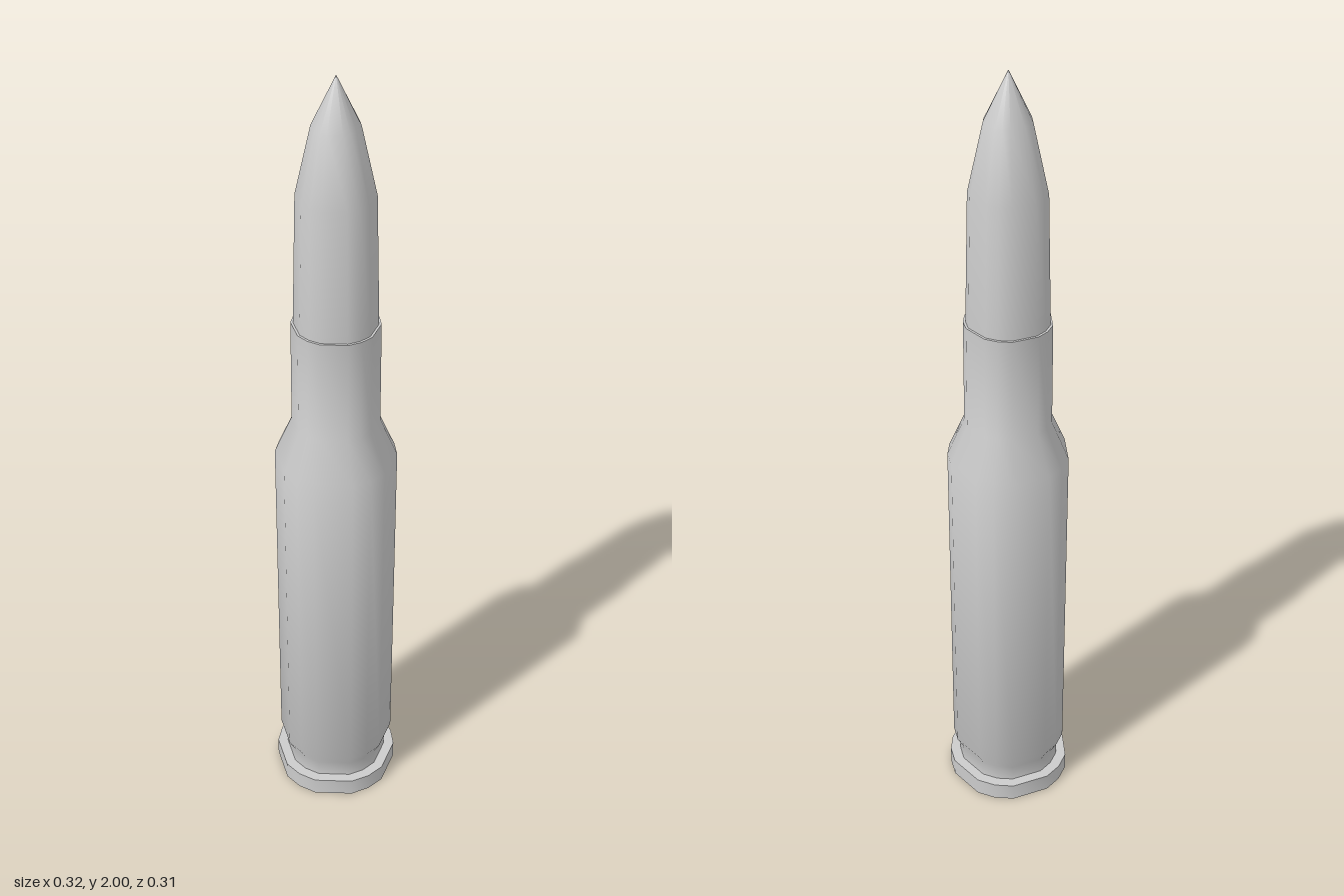
import * as THREE from 'three';
import { toCreasedNormals } from 'three/addons/utils/BufferGeometryUtils.js';

const AXIS_Z = -0.004;

// 20-sided ring with one corner cut away in every 72 degrees (15 corners)
const angles = [];
for (let i = 0; i < 20; i++) if (i % 4 !== 1) angles.push((i * Math.PI) / 10);

// Sweep a [radius, y] profile around the vertical axis
function turned(profile, crease) {
  const n = angles.length;
  const positions = [];
  const indices = [];
  for (const [r, y] of profile)
    for (const a of angles) positions.push(r * Math.cos(a), y, -r * Math.sin(a));
  for (let k = 0; k < profile.length - 1; k++) {
    for (let i = 0; i < n; i++) {
      const a = k * n + i;
      const b = k * n + ((i + 1) % n);
      if (profile[k][0] > 0) indices.push(a, b, a + n);
      if (profile[k + 1][0] > 0) indices.push(b, b + n, a + n);
    }
  }
  const geometry = new THREE.BufferGeometry();
  geometry.setAttribute('position', new THREE.Float32BufferAttribute(positions, 3));
  geometry.setIndex(indices);
  return toCreasedNormals(geometry, crease);
}

export function createModel() {
  const group = new THREE.Group();
  group.name = 'cartridge';
  const material = new THREE.MeshStandardMaterial({ color: 0xcccccc });

  function addPart(name, profile) {
    const mesh = new THREE.Mesh(turned(profile, 0.7), material);
    mesh.name = name;
    mesh.position.z = AXIS_Z;
    group.add(mesh);
  }

  // Small tapered stud in the middle of the base recess
  addPart('primer', [[0, 0.018], [0.018, 0.018], [0.032, 0.055]]);

  // Recessed base, rim, extractor groove, body, shoulder, neck and lip
  addPart('casing', [
    [0, 0.055], [0.115, 0.055], [0.12, 0],
    [0.161, 0], [0.161, 0.047],
    [0.134, 0.047], [0.134, 0.09], [0.151, 0.122],
    [0.151, 1.025], [0.108, 1.125],
    [0.107, 1.392], [0.098, 1.392], [0.098, 1.36],
  ]);

  // Pointed bullet seated in the neck
  addPart('bullet', [
    [0, 1.34], [0.102, 1.34], [0.101, 1.4], [0.093, 1.72], [0.056, 1.885], [0, 2],
  ]);

  return group;
}
